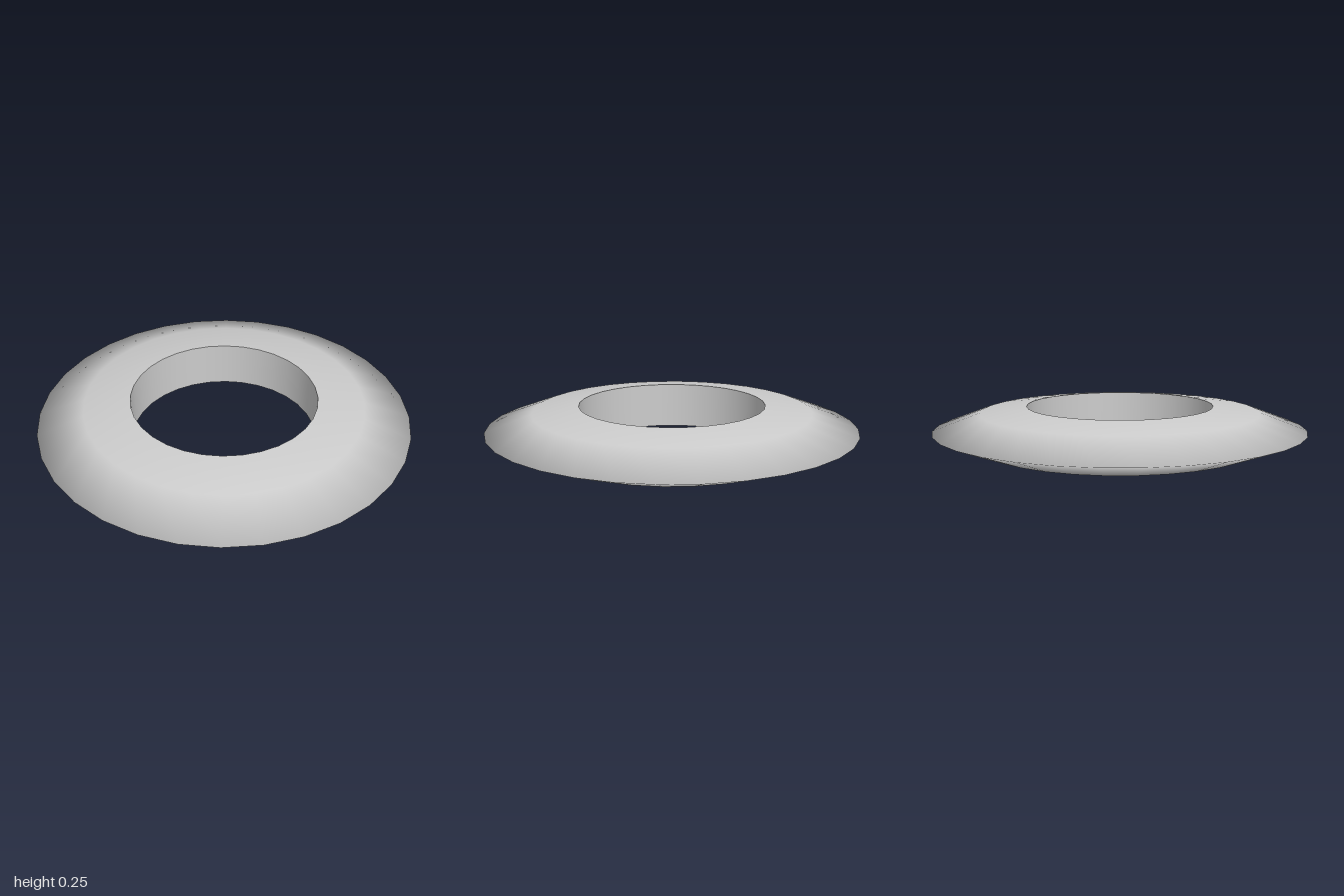
import * as THREE from 'three';

const SEGMENTS = 32;
const INNER = 0.5, SHOULDER = 0.75, RIM = 1;
const HEIGHT = 0.25, SHOULDER_DROP = 0.032;

// Revolves a list of [radius, height] points about the y axis
function revolve(name, points, material) {
  const profile = points.map(([r, y]) => new THREE.Vector2(r, y));
  const mesh = new THREE.Mesh(new THREE.LatheGeometry(profile, SEGMENTS), material);
  mesh.name = name;
  return mesh;
}

export function createModel() {
  const group = new THREE.Group();
  group.name = 'ring';
  const material = new THREE.MeshStandardMaterial({ color: 0xcccccc });

  // Smooth outer body, from the lower inner edge around the rim to the upper inner edge
  group.add(revolve('ringBody', [
    [INNER, 0],
    [SHOULDER, SHOULDER_DROP],
    [RIM, HEIGHT / 2],
    [SHOULDER, HEIGHT - SHOULDER_DROP],
    [INNER, HEIGHT],
  ], material));

  // Straight wall of the hole, separate so its edges stay sharp
  group.add(revolve('holeWall', [[INNER, HEIGHT], [INNER, 0]], material));

  return group;
}
